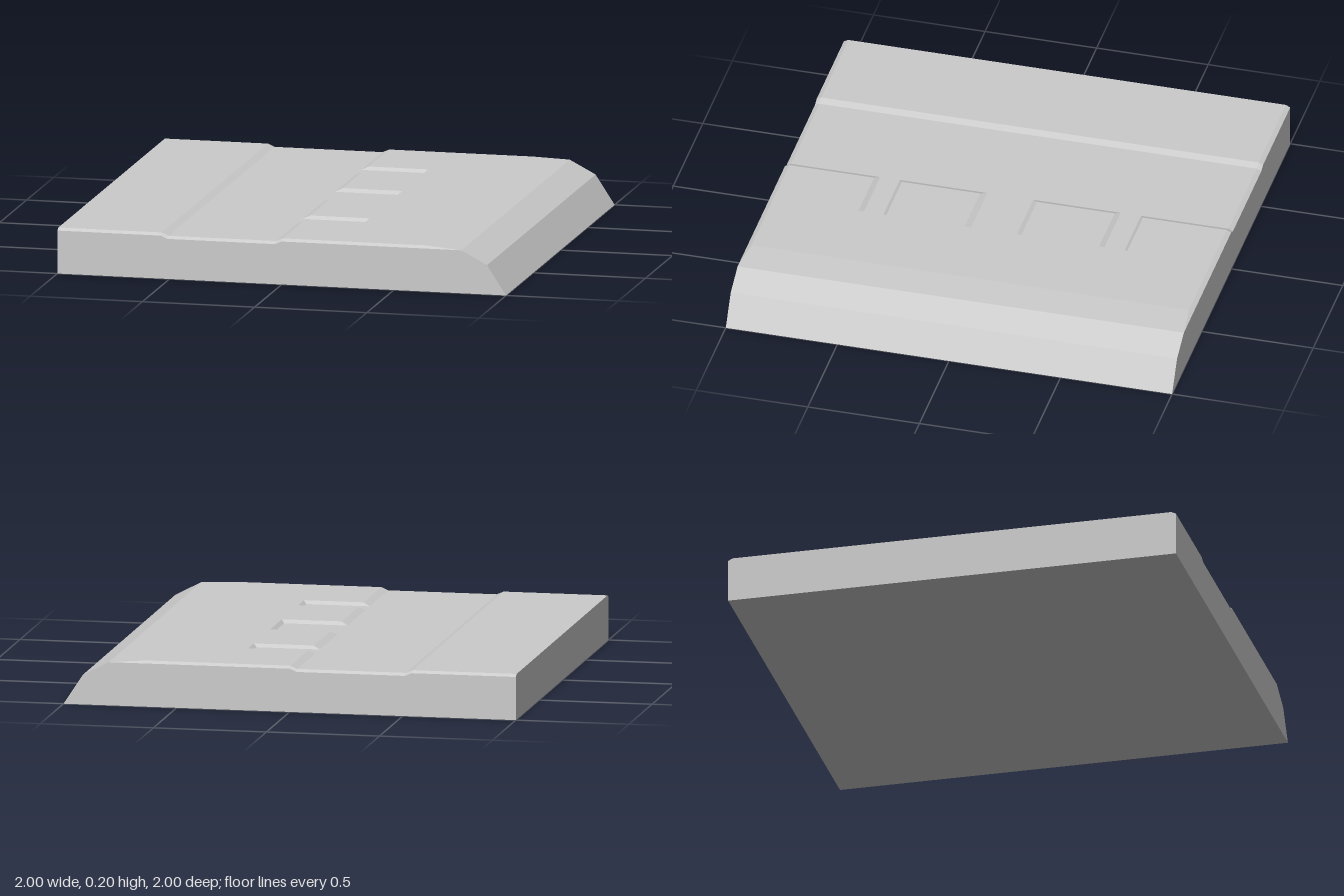
import * as THREE from 'three';

const FLOOR = 0.187, BEVEL = 0.01;

// lengthwise profile of the top: [x, height, inset of the bevelled side edge]
const profile = [
  [-1, 0.2, 0.02], [-0.54, 0.2, 0.02], [-0.51, FLOOR, 0.02], [-0.03, FLOOR, 0.02],
  [0, 0.2, 0.02], [0.25, 0.2, 0.02], [0.265, 0.2, 0.02], [0.64, 0.2, 0.02],
  [0.8, 0.19, 0], [0.915, 0.13, 0], [1, 0, 0],
];

// notches across z: [outer, floor, floor, outer]
const notches = [
  [-0.605, -0.588, -0.497, -0.478],
  [-0.13, -0.105, 0.1, 0.125],
  [0.475, 0.493, 0.58, 0.6],
];

function meshFrom(name, triangles, material) {
  const geometry = new THREE.BufferGeometry().setFromPoints(triangles);
  geometry.computeVertexNormals();
  const mesh = new THREE.Mesh(geometry, material);
  mesh.name = name;
  return mesh;
}

// adds a triangle unless it has collapsed
function tri(list, a, b, c) {
  if (new THREE.Triangle(a, b, c).getArea() > 1e-8) list.push(a, b, c);
}

function quad(list, a, b, c, d) {
  tri(list, a, b, c);
  tri(list, a, c, d);
}

// one cross-section of the top, from z = -1 to z = 1
function crossSection([x, y, inset]) {
  const side = inset > 0 ? y - BEVEL : y;
  const sunk = x === 0 || x === 0.25;
  const p = (h, z) => new THREE.Vector3(x, h, z);
  const row = [p(side, -1), p(y, -1 + inset)];
  for (const n of notches) {
    n.forEach((z, k) => row.push(p(sunk && (k === 1 || k === 2) ? FLOOR : y, z)));
  }
  row.push(p(y, 1 - inset), p(side, 1));
  return row;
}

export function createModel() {
  const group = new THREE.Group();
  group.name = 'rampSlab';
  const material = new THREE.MeshStandardMaterial({ color: 0xcccccc, flatShading: true });
  const rows = profile.map(crossSection);
  const last = rows[0].length - 1;
  const ground = (v) => new THREE.Vector3(v.x, 0, v.z);

  // top with shallow channel, three notches and rounded nose
  const top = [];
  for (let i = 0; i < rows.length - 1; i++) {
    for (let j = 0; j < last; j++) {
      const a = rows[i][j], b = rows[i][j + 1], c = rows[i + 1][j + 1], d = rows[i + 1][j];
      // the fold runs from the notch floor to its outer corner
      const floorFirst = j >= 2 && (j - 2) % 4 === 2;
      if (floorFirst) quad(top, a, b, c, d);
      else quad(top, b, c, d, a);
    }
  }
  group.add(meshFrom('topSurface', top, material));

  // long side walls
  const front = [], back = [];
  for (let i = 0; i < rows.length - 1; i++) {
    const f0 = rows[i][last], f1 = rows[i + 1][last];
    quad(front, ground(f0), ground(f1), f1, f0);
    const b0 = rows[i][0], b1 = rows[i + 1][0];
    quad(back, ground(b1), ground(b0), b0, b1);
  }
  group.add(meshFrom('frontWall', front, material), meshFrom('backWall', back, material));

  // square end wall
  const end = [];
  for (let j = 0; j < last; j++) {
    const a = rows[0][j], b = rows[0][j + 1];
    quad(end, ground(a), ground(b), b, a);
  }
  group.add(meshFrom('endWall', end, material));

  // underside
  const base = new THREE.Mesh(new THREE.PlaneGeometry(2, 2).rotateX(Math.PI / 2), material);
  base.name = 'underside';
  group.add(base);
  return group;
}
